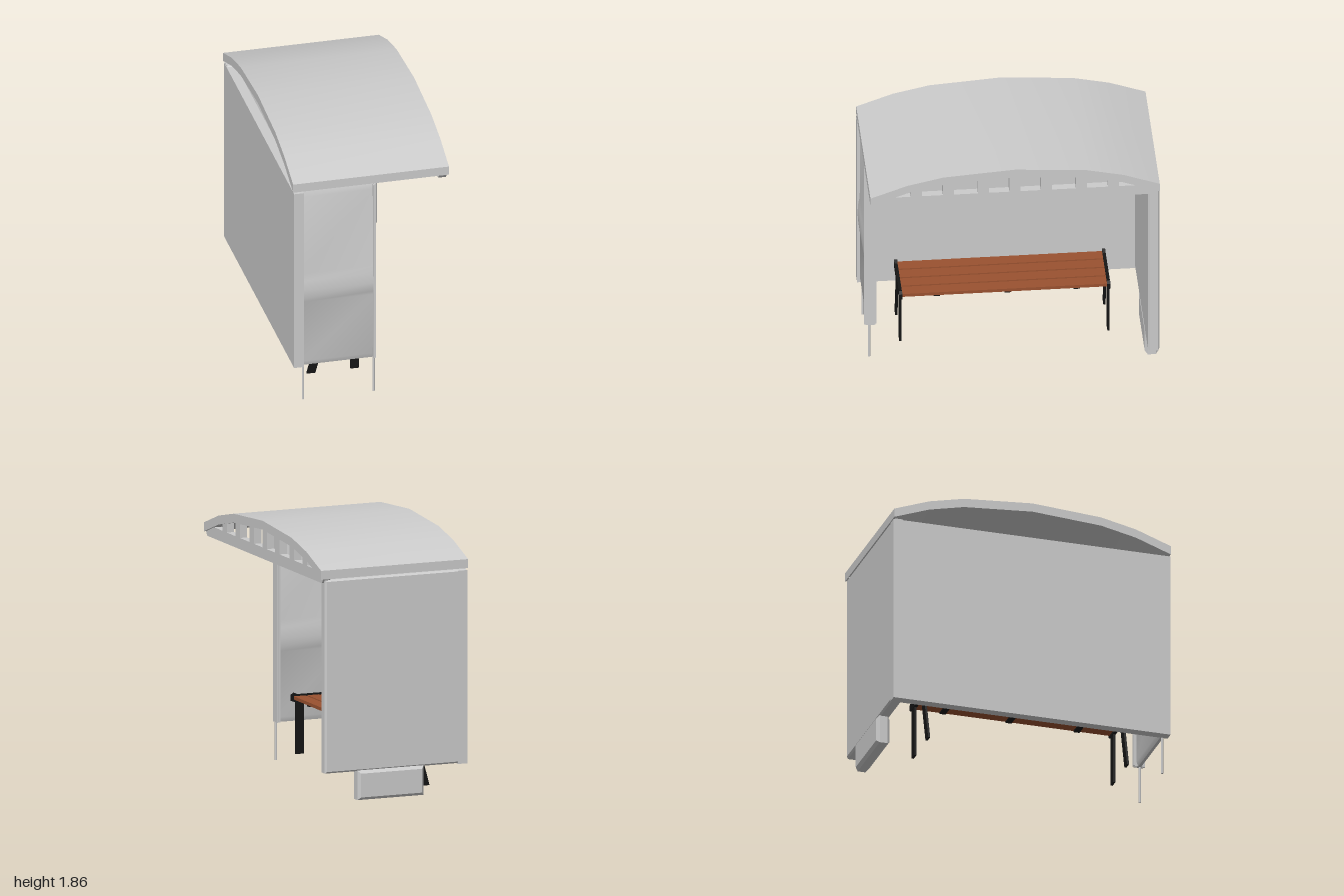
import * as THREE from 'three';
import { toCreasedNormals } from 'three/addons/utils/BufferGeometryUtils.js';

const grey = new THREE.MeshStandardMaterial({ color: 0xcccccc });
const wood = new THREE.MeshStandardMaterial({ color: 0x9a5230 });
const black = new THREE.MeshStandardMaterial({ color: 0x151515 });

function add(parent, name, geometry, material = grey) {
  const mesh = new THREE.Mesh(geometry, material);
  mesh.name = name;
  parent.add(mesh);
  return mesh;
}

// Box given by its limits on each axis
function box(parent, name, [x0, x1], [y0, y1], [z0, z1], material) {
  const mesh = add(parent, name, new THREE.BoxGeometry(x1 - x0, y1 - y0, z1 - z0), material);
  mesh.position.set((x0 + x1) / 2, (y0 + y1) / 2, (z0 + z1) / 2);
  return mesh;
}

// Slab facing z with chamfered rims
function chamferedSlab(parent, name, [x0, x1], [y0, y1], [z0, z1], c) {
  const s = new THREE.Shape([[x0 + c, y0 + c], [x1 - c, y0 + c], [x1 - c, y1 - c], [x0 + c, y1 - c]]
    .map(([x, y]) => new THREE.Vector2(x, y)));
  const g = new THREE.ExtrudeGeometry(s, {
    depth: z1 - z0 - 2 * c, bevelEnabled: true, bevelSize: c, bevelThickness: c, bevelSegments: 1,
  });
  g.translate(0, 0, z0 + c);
  return add(parent, name, g);
}

// Extrudes a (z, y) outline along x from x0 to x1
function extrudeAlongX(points, x0, x1, crease) {
  const s = new THREE.Shape(points.map(([z, y]) => new THREE.Vector2(-z, y)));
  const g = new THREE.ExtrudeGeometry(s, { depth: x1 - x0, bevelEnabled: false });
  g.rotateY(Math.PI / 2).translate(x0, 0, 0);
  return toCreasedNormals(g, crease);
}

function createRoof() {
  const roof = new THREE.Group();
  roof.name = 'roof';
  roof.position.z = 0.0075;

  // Arched shell
  const half = [[0.99, 1.68], [0.74, 1.77], [0.49, 1.825], [0, 1.86]];
  const top = [...half, ...half.slice(0, 3).reverse().map(([z, y]) => [-z, y])];
  const under = top.map(([z, y]) => [z, y - 0.062]).reverse();
  add(roof, 'roofShell', extrudeAlongX([...top, ...under], -0.55, 0.545, 0.5));

  // Truss beam and struts on the open side
  const beam = [[-0.99, 1.62], [-0.965, 1.59], [0.965, 1.59], [0.99, 1.62],
    [0.985, 1.65], [0.93, 1.668], [-0.93, 1.668], [-0.985, 1.65]];
  add(roof, 'trussBeam', extrudeAlongX(beam, 0.475, 0.53, 0.3));
  for (const [z, y] of [[0, 1.82], [0.215, 1.80], [0.455, 1.785], [0.675, 1.74]]) {
    for (const side of z ? [-1, 1] : [1]) {
      box(roof, 'trussStrut', [0.475, 0.53], [1.66, y], [side * z - 0.038, side * z + 0.038]);
    }
  }
  return roof;
}

function createWalls() {
  const walls = new THREE.Group();
  walls.name = 'walls';
  box(walls, 'backWall', [-0.543, -0.475], [0.265, 1.605], [-0.985, 0.998]);

  // Full-width end wall with the box beneath it
  chamferedSlab(walls, 'wideEndWall', [-0.54, 0.515], [0.27, 1.612], [-0.984, -0.905], 0.012);
  chamferedSlab(walls, 'lowerBox', [-0.22, 0.275], [0.07, 0.275], [-1, -0.905], 0.02);

  // Narrow end wall: panel with a padded band across it
  const face = [[0, 0.265], [0.012, 0.3], [0.014, 0.755], [0.026, 0.785], [0.029, 0.85],
    [0.025, 0.92], [0.014, 0.975], [0.012, 1.565], [0, 1.605]];
  const outline = [...face.map(([d, y]) => [0.966 + d, y]),
    ...face.map(([d, y]) => [0.945 - d, y]).reverse()];
  add(walls, 'narrowEndPanel', extrudeAlongX(outline, -0.48, 0.022, 0.9));
  box(walls, 'narrowEndPost', [0.018, 0.035], [0.265, 1.605], [0.918, 0.985]);
  box(walls, 'narrowEndPostCore', [0.014, 0.028], [0.268, 1.602], [0.91, 0.995]);

  // Thin ground rods
  for (const x of [-0.472, 0.025]) {
    const rod = add(walls, 'groundRod', new THREE.CylinderGeometry(0.008, 0.008, 0.28, 12));
    rod.position.set(x, 0.14, 0.96);
  }
  return walls;
}

function createBench() {
  const bench = new THREE.Group();
  bench.name = 'bench';

  // Seat slats
  for (let i = 0; i < 4; i++) {
    const x = -0.395 + i * 0.1;
    box(bench, 'seatSlat', [x, x + 0.087], [0.455, 0.478], [-0.675, 0.735], wood);
  }
  // Cross-bars under the seat
  for (const z of [0.495, 0.008, -0.465]) {
    box(bench, 'crossBar', [-0.395, -0.01], [0.446, 0.456], [z - 0.022, z + 0.022], black);
  }
  // End brackets with one upright and one splayed leg each
  for (const z of [0.742, -0.682]) {
    const bracket = [[-0.405, 0.445], [-0.39, 0.44], [-0.02, 0.435], [0.008, 0.445],
      [0.008, 0.485], [-0.015, 0.5], [-0.04, 0.487], [-0.36, 0.487], [-0.385, 0.5], [-0.405, 0.49]];
    const backLeg = [[-0.392, 0.075], [-0.332, 0.075], [-0.23, 0.45], [-0.29, 0.45]];
    const frontLeg = [[-0.085, 0.075], [-0.025, 0.075], [-0.025, 0.45], [-0.085, 0.45]];
    for (const [name, points, t] of [['seatBracket', bracket, 0.022],
      ['backLeg', backLeg, 0.015], ['frontLeg', frontLeg, 0.015]]) {
      const s = new THREE.Shape(points.map(([x, y]) => new THREE.Vector2(x, y)));
      const g = new THREE.ExtrudeGeometry(s, { depth: t, bevelEnabled: false });
      add(bench, name, g, black).position.z = z - t / 2;
    }
  }
  return bench;
}

export function createModel() {
  const model = new THREE.Group();
  model.name = 'shelter';
  model.add(createRoof(), createWalls(), createBench());
  return model;
}
